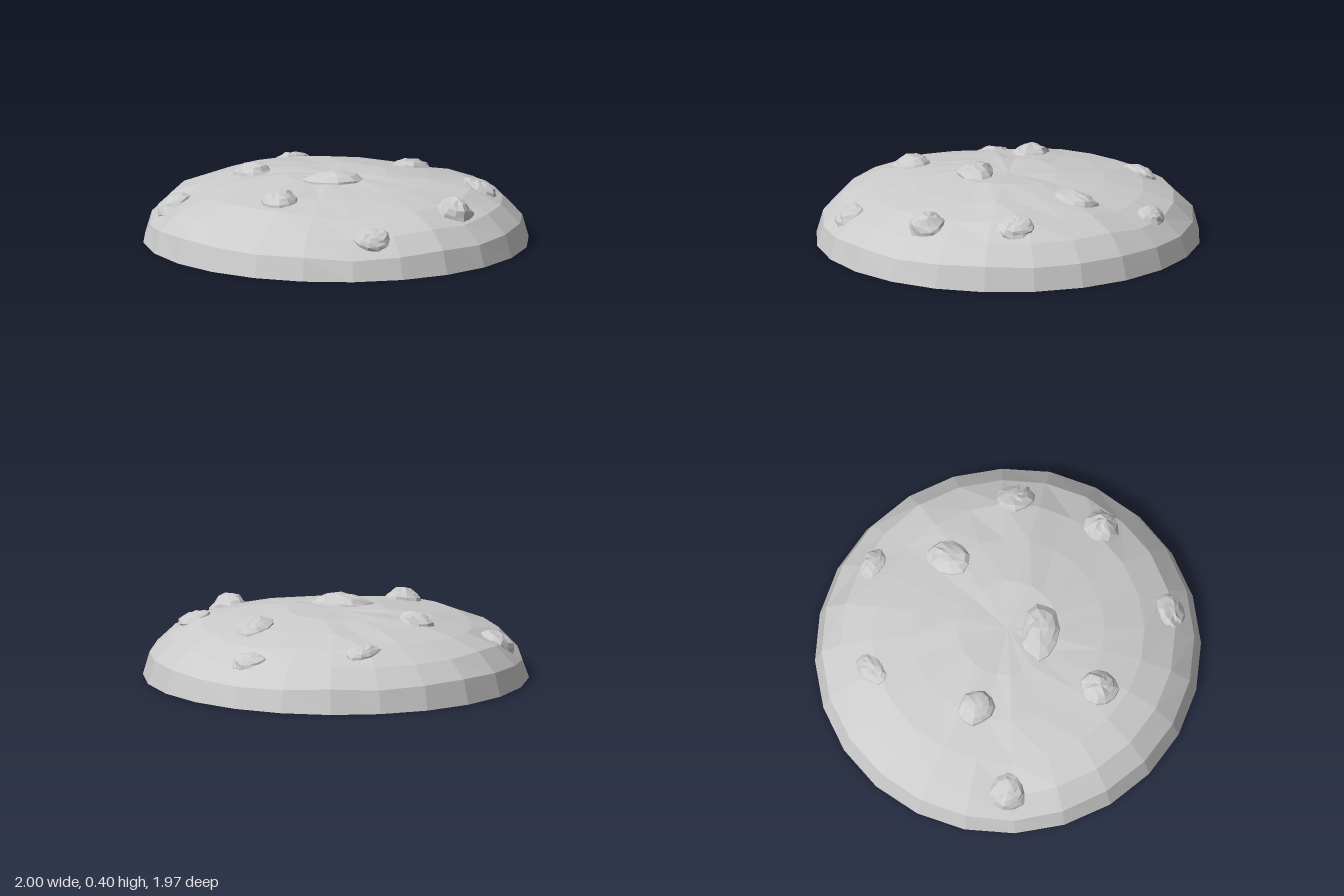
import * as THREE from 'three';

const material = new THREE.MeshStandardMaterial({ color: 0xcccccc, flatShading: true });

// Repeatable noise in -1..1 from a position, so shared corners move together
function noise(x, y, z, seed = 0) {
  const r = (v) => Math.round(v * 1000) / 1000 + 0;
  const s = Math.sin(r(x) * 127.1 + r(y) * 311.7 + r(z) * 74.7 + seed * 19.3) * 43758.5453;
  return (s - Math.floor(s)) * 2 - 1;
}

// Dome height by ring, from apex to rim, at 15 degree steps
const ringHeights = [0.342, 0.345, 0.32, 0.285, 0.222, 0.122, 0];
function domeHeight(radius) {
  const t = Math.asin(Math.min(radius, 1)) / (Math.PI / 12);
  const i = Math.min(Math.floor(t + 1e-6), 5);
  return THREE.MathUtils.lerp(ringHeights[i], ringHeights[i + 1], t - i);
}

// Broad swells and dents: x, z, spread, height
const swells = [
  [0.25, -0.15, 0.22, 0.02],
  [0.5, -0.4, 0.2, 0.012],
  [-0.62, 0.59, 0.22, -0.04],
  [0.66, 0.55, 0.22, -0.035],
  [0.82, 0, 0.2, -0.02],
  [-0.1, -0.72, 0.25, -0.03],
];
function swell(x, z) {
  return swells.reduce((sum, [sx, sz, spread, height]) =>
    sum + height * Math.exp(-((x - sx) ** 2 + (z - sz) ** 2) / spread ** 2), 0);
}
const surfaceHeight = (x, z) => domeHeight(Math.hypot(x, z)) + swell(x, z);

function createDome() {
  const geometry = new THREE.SphereGeometry(1, 24, 6, 0, Math.PI * 2, 0, Math.PI / 2);
  const p = geometry.attributes.position;
  for (let i = 0; i < p.count; i++) {
    const x = p.getX(i), y = p.getY(i), z = p.getZ(i);
    const ring = Math.round(Math.acos(Math.min(y, 1)) / (Math.PI / 12));
    const offset = ring === 6 ? 0 : swell(x, z) + (ring ? 0.007 * noise(x, y, z) : 0);
    p.setXYZ(i, x, ringHeights[ring] + offset, z * 0.985 - 0.004);
  }
  const dome = new THREE.Mesh(geometry, material);
  dome.name = 'dome';
  return dome;
}

// Rough stone half sunk into the dome, lying along its slope
function createStone([x, z, a, b, h, yaw], index) {
  const geometry = new THREE.SphereGeometry(1, 11, 8);
  const p = geometry.attributes.position;
  for (let i = 0; i < p.count; i++) {
    const vx = p.getX(i), vy = p.getY(i), vz = p.getZ(i);
    const s = 1 + 0.1 * noise(vx, vy, vz, index + 1);
    p.setXYZ(i, vx * s * a, vy * s * h, vz * s * b);
  }
  const d = 0.06;
  const normal = new THREE.Vector3(
    (surfaceHeight(x - d, z) - surfaceHeight(x + d, z)) / (2 * d), 1,
    (surfaceHeight(x, z - d) - surfaceHeight(x, z + d)) / (2 * d)).normalize();
  const up = new THREE.Vector3(0, 1, 0);
  const stone = new THREE.Mesh(geometry, material);
  stone.name = 'stone' + (index + 1);
  stone.position.set(x, surfaceHeight(x, z), z).addScaledVector(normal, -0.015);
  stone.quaternion.setFromUnitVectors(up, normal)
    .multiply(new THREE.Quaternion().setFromAxisAngle(up, yaw));
  return stone;
}

// x, z, half length, half width, height, yaw
const stones = [
  [0.10, 0.13, 0.165, 0.10, 0.065, 0.7],
  [0.09, 0.55, 0.1, 0.1, 0.07, 0],
  [-0.42, 0.16, 0.1, 0.095, 0.062, 0],
  [-0.62, 0.56, 0.1, 0.1, 0.055, 0.5],
  [0.68, 0.51, 0.1, 0.08, 0.048, 1],
  [0.76, -0.05, 0.1, 0.1, 0.085, 0],
  [0.57, -0.48, 0.11, 0.09, 0.045, -0.3],
  [0.09, -0.50, 0.1, 0.13, 0.055, 0.2],
  [-0.62, -0.39, 0.065, 0.105, 0.04, -0.1],
  [-0.18, -0.79, 0.095, 0.07, 0.045, 0.4],
];

export function createModel() {
  const model = new THREE.Group();
  model.name = 'studdedDome';
  model.add(createDome());

  // Flat underside
  const base = new THREE.Mesh(new THREE.CircleGeometry(1, 24), material);
  base.name = 'underside';
  base.rotation.x = Math.PI / 2;
  base.scale.y = 0.985;
  base.position.z = -0.004;
  model.add(base);

  const stoneGroup = new THREE.Group();
  stoneGroup.name = 'stones';
  stones.forEach((spec, i) => stoneGroup.add(createStone(spec, i)));
  model.add(stoneGroup);
  return model;
}
